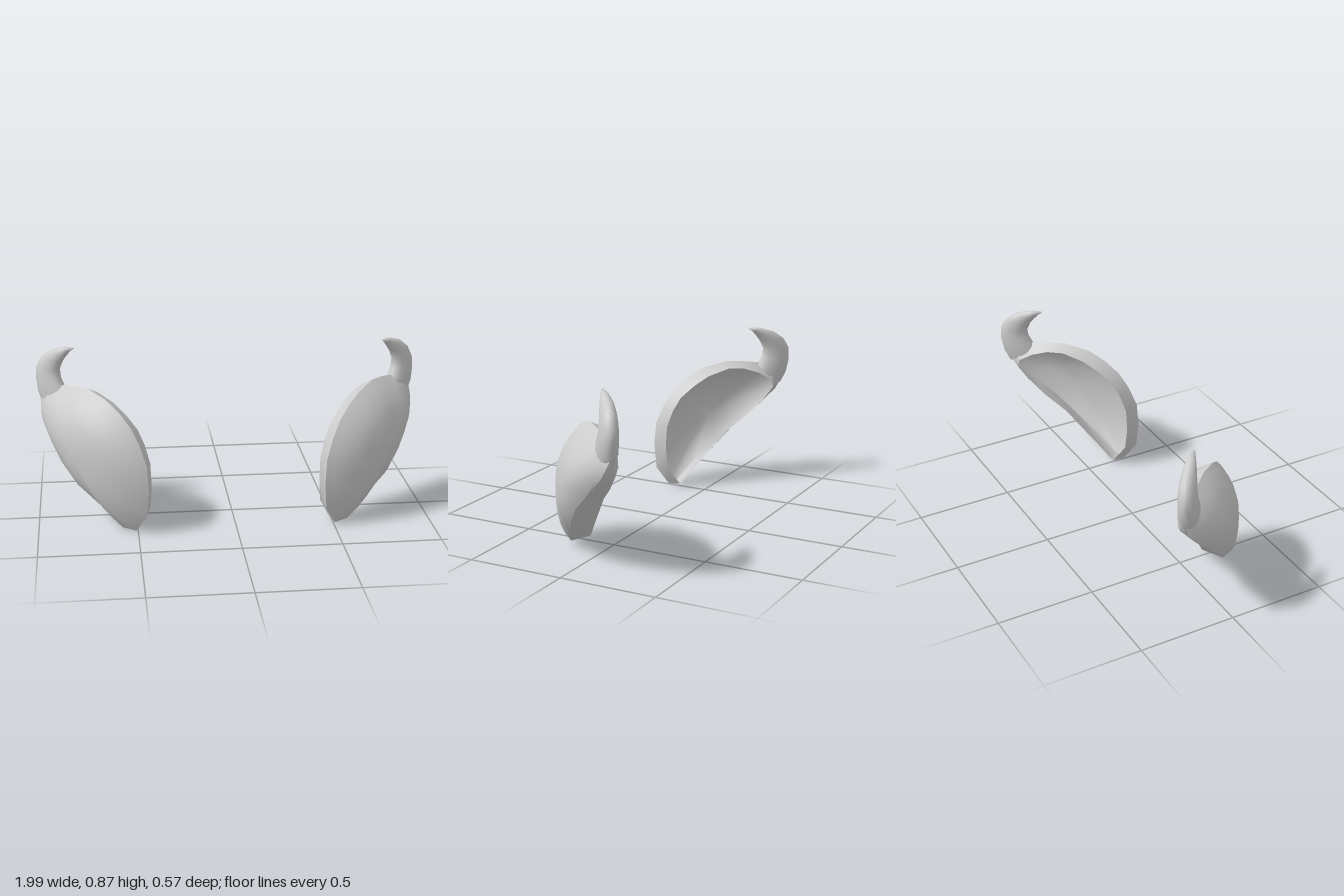
import * as THREE from 'three';
import { toCreasedNormals } from 'three/addons/utils/BufferGeometryUtils.js';

// Local axes: u runs outward and back, y up, n outward from the open face.
const toWorld = ([u, y, n], side) => [side * (u + n) * Math.SQRT1_2, y, (n - u) * Math.SQRT1_2];

// Skin closed rings of equal length.
function loft(rings, side, crease) {
  const count = rings[0].length;
  const positions = rings.flat().flatMap((p) => toWorld(p, side));
  const index = [];
  const tri = (a, b, c) => (side > 0 ? index.push(a, b, c) : index.push(a, c, b));
  for (let i = 0; i < rings.length - 1; i++) {
    for (let j = 0; j < count; j++) {
      const k = (j + 1) % count;
      const a = i * count + j, b = i * count + k;
      tri(a, b, b + count);
      tri(a, b + count, a + count);
    }
  }
  const geometry = new THREE.BufferGeometry();
  geometry.setAttribute('position', new THREE.Float32BufferAttribute(positions, 3));
  geometry.setIndex(index);
  return toCreasedNormals(geometry, crease);
}

// Widest outline of the shell (u, y, n), counter-clockwise from the bottom point.
const outline = [
  [0.2, 0, 0.52], [0.265, 0.012, 0.55], [0.375, 0.1, 0.575], [0.516, 0.2, 0.61],
  [0.63, 0.3, 0.61], [0.739, 0.4, 0.58], [0.835, 0.5, 0.54], [0.87, 0.585, 0.51],
  [0.82, 0.65, 0.5], [0.715, 0.668, 0.5], [0.62, 0.68, 0.5], [0.53, 0.686, 0.505],
  [0.396, 0.655, 0.515], [0.304, 0.605, 0.515], [0.226, 0.54, 0.515], [0.17, 0.46, 0.515],
  [0.124, 0.36, 0.515], [0.113, 0.235, 0.515], [0.127, 0.1, 0.515],
];
// Matching points on the flat rim of the opening (u, y).
const rim = [
  [0.24, 0.018], [0.265, 0.04], [0.318, 0.1], [0.417, 0.2],
  [0.516, 0.3], [0.63, 0.38], [0.73, 0.47], [0.785, 0.535],
  [0.775, 0.575], [0.7, 0.62], [0.61, 0.65], [0.52, 0.655],
  [0.405, 0.62], [0.32, 0.57], [0.245, 0.51], [0.2, 0.44],
  [0.165, 0.35], [0.158, 0.235], [0.17, 0.115],
];
const RIM_N = 0.445;
const CROWN = [0.5, 0.37, 0.658];

// Rim, flared wall, then a dome closing on the crown.
function shellGeometry(side) {
  const rings = [rim.map(([u, y]) => [u, y, RIM_N])];
  for (const k of [1, 0.92, 0.82, 0.68, 0.5, 0.28, 0.001]) {
    const rise = 1 - Math.pow(k, 2.5);
    rings.push(outline.map(([u, y, n]) => [
      CROWN[0] + (u - CROWN[0]) * k,
      CROWN[1] + (y - CROWN[1]) * k,
      n + (CROWN[2] - n) * rise,
    ]));
  }
  return loft(rings, side, 1.1);
}

// Horn sections: inner u, y, outer u, y, centre n, half thickness.
const hornSections = [
  [0.7, 0.64, 0.848, 0.545, 0.502, 0.045],
  [0.715, 0.668, 0.88, 0.605, 0.5, 0.05],
  [0.735, 0.7, 0.897, 0.68, 0.499, 0.046],
  [0.742, 0.745, 0.893, 0.74, 0.497, 0.043],
  [0.72, 0.79, 0.862, 0.795, 0.492, 0.038],
  [0.695, 0.822, 0.8, 0.84, 0.487, 0.03],
  [0.67, 0.85, 0.715, 0.867, 0.482, 0.018],
  [0.648, 0.864, 0.652, 0.872, 0.48, 0.006],
  [0.649, 0.868, 0.65, 0.869, 0.48, 0.001],
];

function hornGeometry(side) {
  const sides = 14;
  const rings = hornSections.map(([iu, iy, ou, oy, n, t]) =>
    Array.from({ length: sides }, (_, j) => {
      const a = (j / sides) * Math.PI * 2;
      const f = 0.5 + 0.5 * Math.cos(a);
      return [iu + (ou - iu) * f, iy + (oy - iy) * f, n - t * Math.sin(a)];
    }));
  return loft(rings, side, 1.4);
}

export function createModel() {
  const material = new THREE.MeshStandardMaterial({ color: 0xcccccc, side: THREE.DoubleSide });
  const model = new THREE.Group();
  model.name = 'hornedShoulderGuards';
  for (const [side, label] of [[1, 'left'], [-1, 'right']]) {
    const guard = new THREE.Group();
    guard.name = `${label}ShoulderGuard`;
    const shell = new THREE.Mesh(shellGeometry(side), material);
    shell.name = `${label}Shell`;
    const horn = new THREE.Mesh(hornGeometry(side), material);
    horn.name = `${label}Horn`;
    guard.add(shell, horn);
    model.add(guard);
  }
  return model;
}
